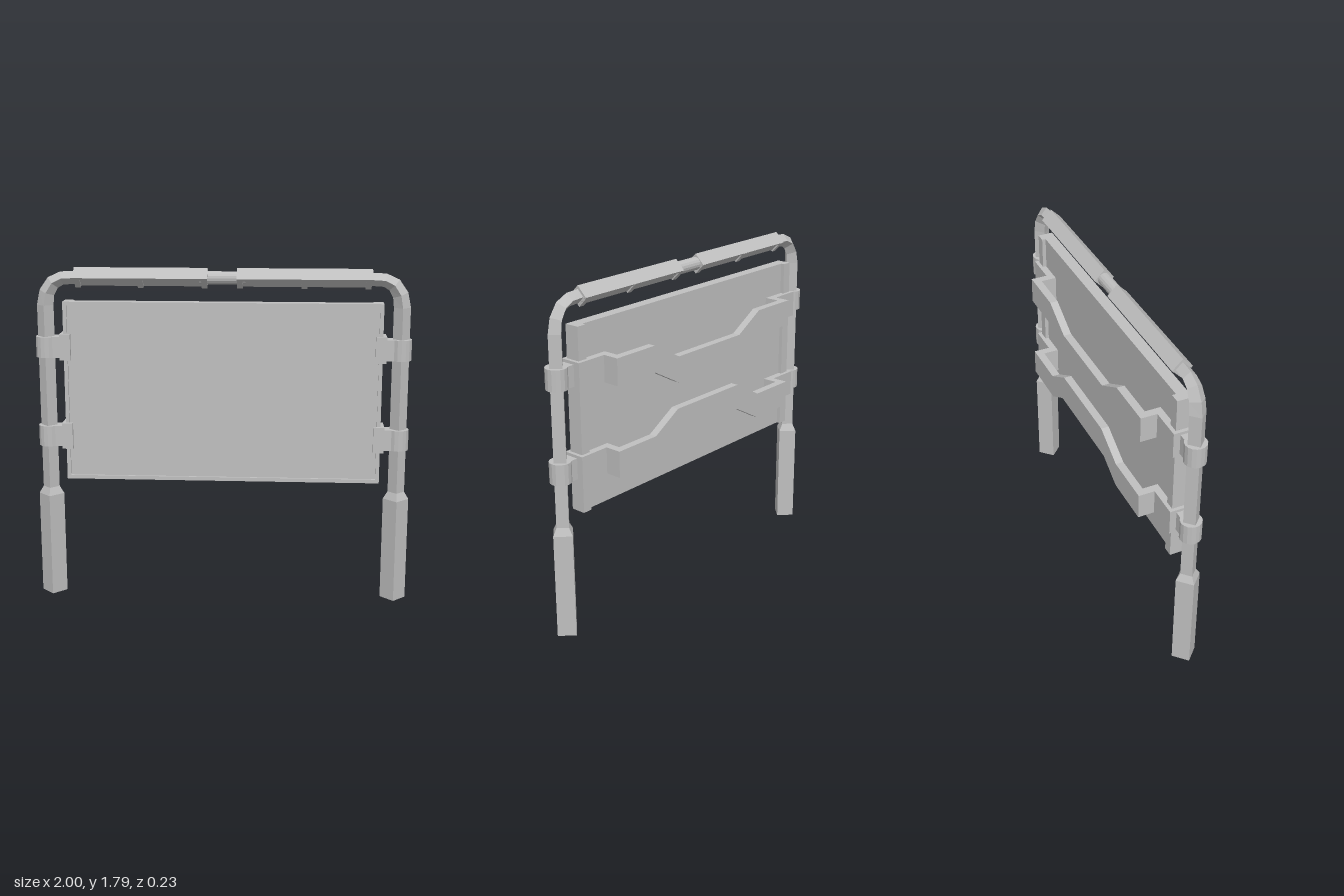
import * as THREE from 'three';
import { mergeVertices } from 'three/addons/utils/BufferGeometryUtils.js';

const Z = 0.046; // depth of the post centre line

export function createModel() {
  const root = new THREE.Group();
  root.name = 'noticeBoard';
  const metal = new THREE.MeshStandardMaterial({ color: 0xbfbfbf, flatShading: true });
  metal.name = 'grey metal';

  const add = (name, geo, x = 0, y = 0, z = 0) => {
    const m = new THREE.Mesh(geo, metal);
    m.name = name;
    m.position.set(x, y, z);
    root.add(m);
    return m;
  };
  // box from its limits; x limits are mirrored by side
  const box = (name, x0, x1, y0, y1, z0, z1, side = 1) =>
    add(name, new THREE.BoxGeometry(x1 - x0, y1 - y0, z1 - z0),
      side * (x0 + x1) / 2, (y0 + y1) / 2, (z0 + z1) / 2);

  // diamond section swept along stations [x, y, half diagonal]
  function sweep(st) {
    const pos = [], idx = [];
    st.forEach(([x, y, h], i) => {
      const a = st[Math.max(i - 1, 0)], b = st[Math.min(i + 1, st.length - 1)];
      const l = Math.hypot(b[0] - a[0], b[1] - a[1]);
      const nx = (b[1] - a[1]) / l * h, ny = -(b[0] - a[0]) / l * h;
      pos.push(x + nx, y + ny, 0, x, y, h, x - nx, y - ny, 0, x, y, -h);
      if (i === st.length - 1) return;
      for (let j = 0; j < 4; j++) {
        const p = i * 4 + j, q = i * 4 + (j + 1) % 4;
        idx.push(p, p + 4, q + 4, p, q + 4, q);
      }
    });
    idx.push(0, 1, 2, 0, 2, 3);
    const g = new THREE.BufferGeometry();
    g.setAttribute('position', new THREE.Float32BufferAttribute(pos, 3));
    g.setIndex(idx);
    const flat = g.toNonIndexed();
    flat.computeVertexNormals();
    return flat;
  }

  // posts with thick feet, bending into the top rail
  const post = sweep([
    [0.932, 0, 0.068], [0.932, 0.56, 0.068], [0.932, 0.6, 0.044], [0.932, 1.59, 0.044],
    [0.921, 1.655, 0.041], [0.888, 1.707, 0.038], [0.84, 1.731, 0.035], [0.75, 1.736, 0.034],
  ]);
  for (const s of [1, -1]) {
    const p = add(s > 0 ? 'leftPost' : 'rightPost', post, 0, 0, Z);
    if (s < 0) p.rotation.y = Math.PI;
  }

  // round rod joining the two lamps
  const rod = new THREE.CylinderGeometry(0.034, 0.034, 0.24, 16).rotateZ(Math.PI / 2);
  add('topRod', rod, 0, 1.737, Z - 0.003);

  // lamps: chevron hood, diamond body and three clips each
  const hood = new THREE.Shape([[0, 0.053], [0.053, 0.001], [0.045, -0.008], [0, 0.036], [-0.045, -0.008], [-0.053, 0.001]]
    .map(([x, y]) => new THREE.Vector2(x, y)));
  const hoodGeo = new THREE.ExtrudeGeometry(hood, { depth: 0.7, bevelEnabled: false })
    .translate(0, 0, -0.35).rotateY(Math.PI / 2);
  const diamond = (r, len) => new THREE.CylinderGeometry(r, r, len, 4).rotateZ(Math.PI / 2);
  const body = diamond(0.043, 0.69), clip = diamond(0.052, 0.03);
  for (const s of [1, -1]) {
    add('lampHood', hoodGeo, s * 0.426, 1.735, Z - 0.003);
    add('lampBody', body, s * 0.426, 1.735, Z - 0.003);
    for (const x of [0.092, 0.426, 0.755]) add('lampClip', clip, s * x, 1.734, Z - 0.003);
  }

  // board: recessed sheet, front rim and side flanges
  box('boardSheet', -0.82, 0.82, 0.665, 1.595, 0.01, 0.058);
  box('rimTop', -0.838, 0.838, 1.59, 1.61, 0.01, 0.07);
  box('rimBottom', -0.838, 0.838, 0.65, 0.67, 0.01, 0.07);
  for (const s of [1, -1]) {
    box('rimSide', 0.818, 0.838, 0.65, 1.61, 0.01, 0.07, s);
    box('backFlange', 0.785, 0.838, 0.65, 1.61, -0.01, 0.012, s);
  }

  // clamps holding the board to the posts
  const ring = mergeVertices(new THREE.CylinderGeometry(0.056, 0.056, 0.11, 16));
  for (const s of [1, -1]) for (const y of [1.37, 0.89]) {
    add('clampRing', ring, s * 0.932, y, Z);
    box('clampArm', 0.85, 0.932, y - 0.055, y + 0.055, 0.005, 0.087, s);
    box('clampFront', 0.8, 0.857, y - 0.07, y + 0.07, 0.068, 0.087, s);
    box('clampSide', 0.837, 0.857, y - 0.07, y + 0.07, -0.03, 0.087, s);
    box('clampBack', 0.645, 0.857, y - 0.07, y + 0.07, -0.03, 0.008, s);
    box('braceStep', 0.645, 0.688, y - 0.07, y + 0.07, -0.115, 0.008, s);
  }

  // cranked braces behind the board
  for (const [y, d] of [[1.37, -0.1], [0.89, 0.1]]) {
    const line = [[-0.688, 0], [-0.42, 0], [-0.25, d], [0.24, d], [0.42, 0], [0.688, 0]];
    // the lower brace is the upper one turned half round
    const path = d < 0 ? line : line.map(([x, v]) => [-x, v]).reverse();
    const pts = path.map(([x, v]) => new THREE.Vector2(x, v - 0.07))
      .concat(path.map(([x, v]) => new THREE.Vector2(x, v + 0.07)).reverse());
    const g = new THREE.ExtrudeGeometry(new THREE.Shape(pts), { depth: 0.042, bevelEnabled: false });
    add('backBrace', g, 0, y, -0.117);
  }

  return root;
}
